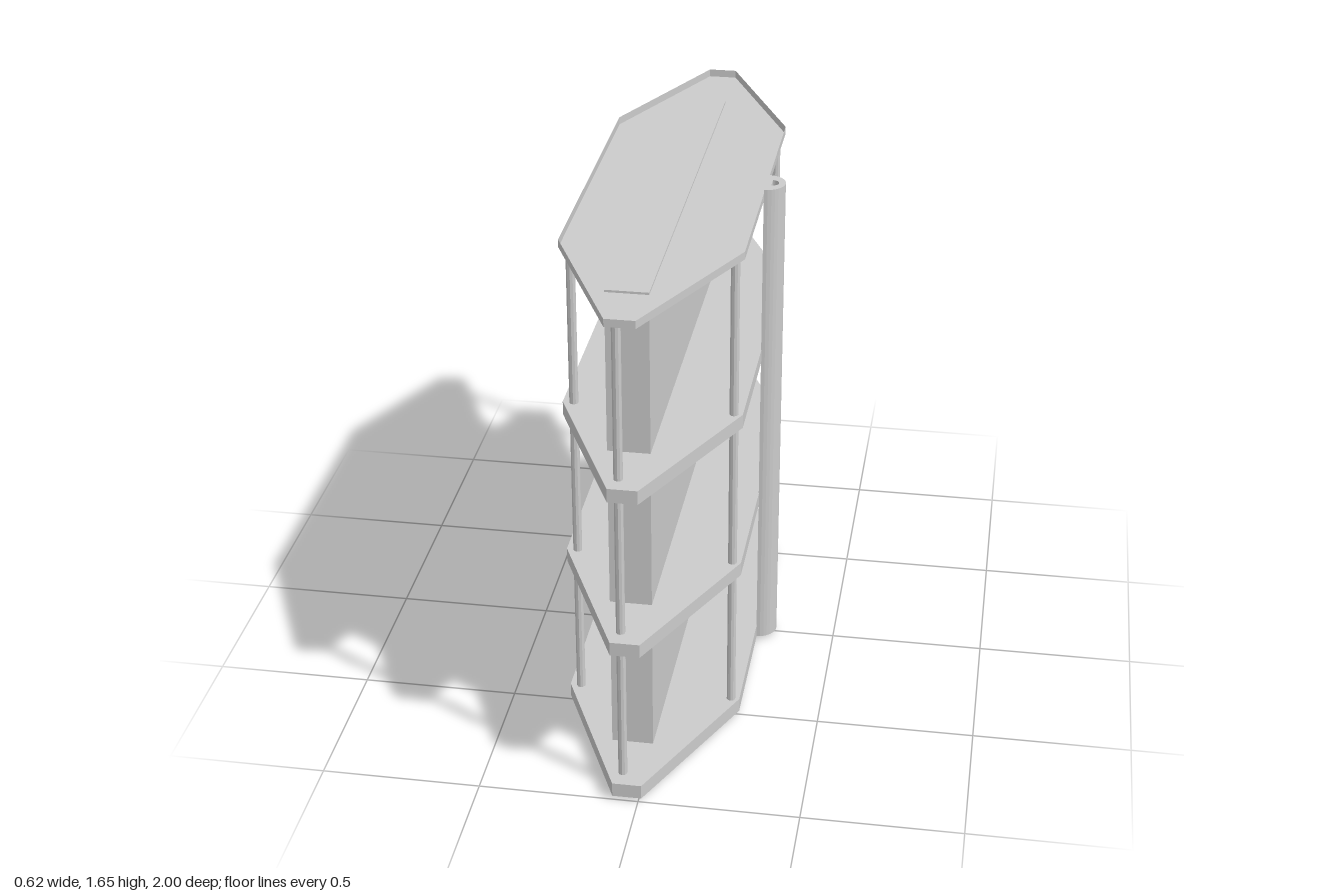
import * as THREE from 'three';

const material = new THREE.MeshStandardMaterial({ color: 0xcccccc, side: THREE.DoubleSide, flatShading: true });

// Thin-walled prism: upright walls along a plan outline [x, z], closed by flat panels at given heights
function shell(name, outline, y0, y1, panels) {
  const group = new THREE.Group();
  group.name = name;
  const corners = [];
  outline.forEach(([ax, az], i) => {
    const [bx, bz] = outline[(i + 1) % outline.length];
    corners.push(ax, y0, az, ax, y1, az, bx, y1, bz, ax, y0, az, bx, y1, bz, bx, y0, bz);
  });
  const walls = new THREE.BufferGeometry();
  walls.setAttribute('position', new THREE.Float32BufferAttribute(corners, 3));
  walls.computeVertexNormals();
  const rim = new THREE.Mesh(walls, material);
  rim.name = name + 'Walls';
  group.add(rim);

  const shape = new THREE.Shape(outline.map(([x, z]) => new THREE.Vector2(x, z)));
  for (const y of panels) {
    const panel = new THREE.Mesh(new THREE.ShapeGeometry(shape).rotateX(Math.PI / 2), material);
    panel.name = name + 'Panel';
    panel.position.y = y;
    group.add(panel);
  }
  return group;
}

export function createModel() {
  const model = new THREE.Group();
  model.name = 'shelfTower';

  // Shelves: rimmed trays with pointed ends; the lower three open downwards, the top one upwards
  const plan = [
    [-0.08, 1], [0.01, 1], [0.245, 0.5], [0.245, -0.5],
    [0.01, -1], [-0.08, -1], [-0.31, -0.5], [-0.31, 0.5],
  ];
  for (const [y0, y1] of [[0.013, 0.06], [0.533, 0.578], [1.06, 1.105]]) {
    model.add(shell('shelf', plan, y0, y1, [y1]));
  }
  model.add(shell('topShelf', plan, 1.62, 1.645, [1.62]));

  // Central core running through all the shelves, with a recessed underside
  const core = [[-0.12, 0.78], [0.01, 0.78], [0.01, -0.75], [-0.12, -0.75]];
  model.add(shell('core', core, 0, 1.627, [0.05, 1.627]));

  // Six support rods
  const rods = [
    [-0.057, 0.94], [-0.057, -0.945],
    [-0.275, 0.5], [-0.275, -0.475],
    [0.218, 0.5], [0.218, -0.475],
  ];
  for (const [x, z] of rods) {
    const rod = new THREE.Mesh(new THREE.CylinderGeometry(0.014, 0.014, 1.575, 10), material);
    rod.name = 'supportRod';
    rod.position.set(x, 0.045 + 1.575 / 2, z);
    model.add(rod);
  }

  // Half-round hollow post on the side
  const half = new THREE.Shape();
  half.absarc(0.244, 0, 0.061, -Math.PI / 2, Math.PI / 2, false);
  half.closePath();
  const bore = new THREE.Path();
  bore.absarc(0.262, 0, 0.022, -Math.PI / 2, Math.PI / 2, false);
  bore.closePath();
  half.holes.push(bore);
  const postGeometry = new THREE.ExtrudeGeometry(half, { depth: 1.642, bevelEnabled: false, curveSegments: 8 });
  const post = new THREE.Mesh(postGeometry.rotateX(-Math.PI / 2), material);
  post.name = 'sidePost';
  post.position.y = 0.013;
  model.add(post);

  return model;
}
